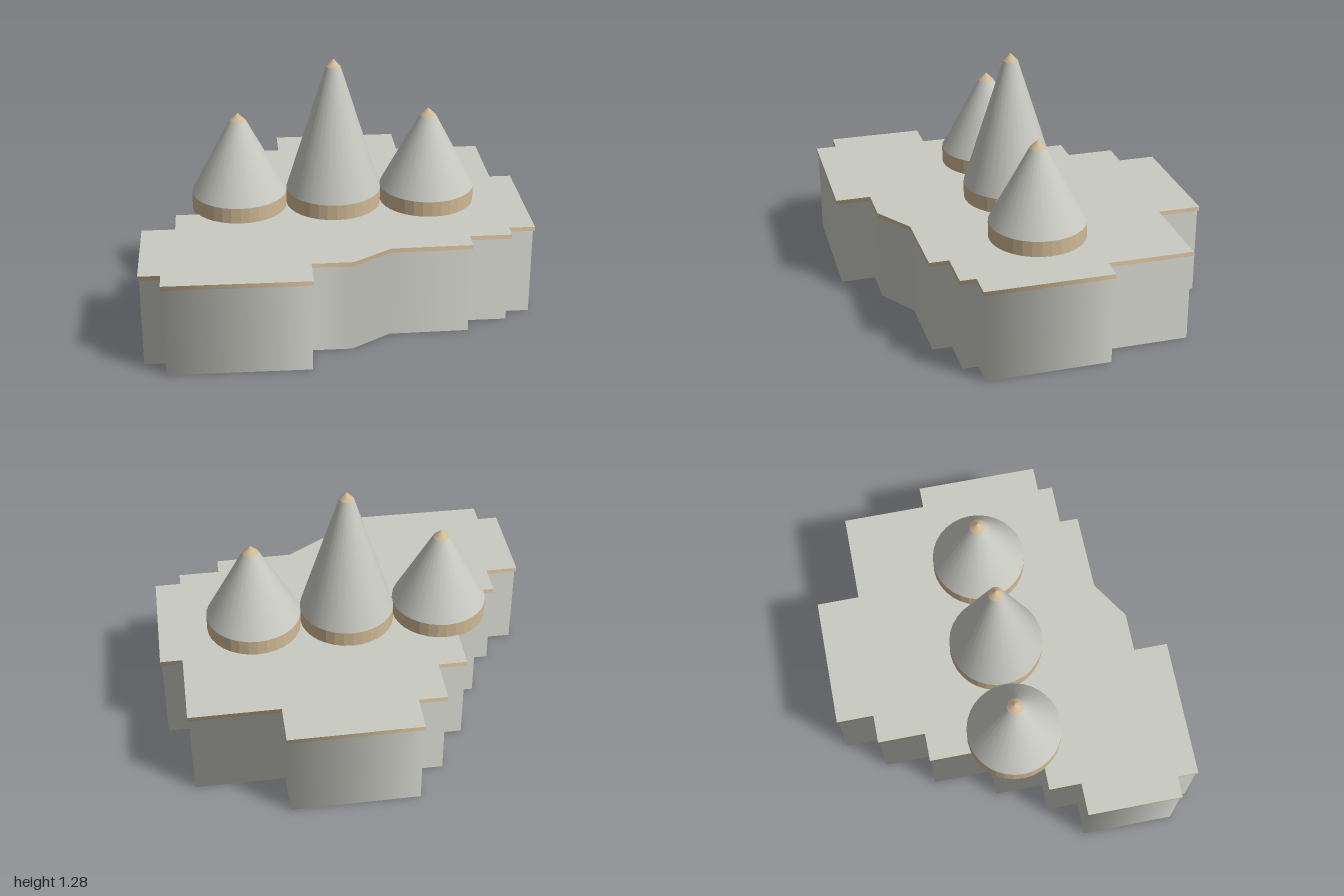
import * as THREE from 'three';

// stepped ground outline as [x, z], walked clockwise seen from above
const OUTLINE = [
  [-0.26, -0.905], [0.42, -0.905], [0.42, -0.68], [0.885, -0.68], [0.885, -0.24], [1, -0.24],
  [1, 0.41], [0.865, 0.41], [0.865, 0.49], [0.65, 0.49], [0.65, 0.59], [0.24, 0.595],
  [0.04, 0.725], [-0.165, 0.725], [-0.165, 0.905], [-0.89, 0.9], [-0.89, 0.79], [-1, 0.79],
  [-1, 0.29], [-0.83, 0.29], [-0.83, 0.12], [-0.69, 0.12], [-0.69, -0.14], [-0.56, -0.14],
  [-0.56, -0.46], [-0.41, -0.46], [-0.41, -0.71], [-0.26, -0.71],
];

// corner positions with the mitred outward direction of each
function corners(inset) {
  const n = OUTLINE.length;
  const edgeNormal = (i) => {
    const a = OUTLINE[(i + n) % n], b = OUTLINE[(i + 1) % n];
    return new THREE.Vector2(b[1] - a[1], a[0] - b[0]).normalize();
  };
  return OUTLINE.map(([x, z], i) => {
    const n1 = edgeNormal(i - 1), n2 = edgeNormal(i);
    const miter = n1.clone().add(n2).divideScalar(1 + n1.dot(n2));
    return {
      p: new THREE.Vector2(x, z).addScaledVector(miter, -inset),
      normal: miter.clone().normalize(),
    };
  });
}

// ring of walls with normals blended around the corners
function wallGeometry(ring, y0, y1) {
  const pos = [], nor = [], idx = [];
  ring.forEach(({ p, normal }, i) => {
    pos.push(p.x, y0, p.y, p.x, y1, p.y);
    nor.push(normal.x, 0, normal.y, normal.x, 0, normal.y);
    const a = 2 * i, b = 2 * ((i + 1) % ring.length);
    idx.push(b, a, a + 1, b, a + 1, b + 1);
  });
  const g = new THREE.BufferGeometry();
  g.setAttribute('position', new THREE.Float32BufferAttribute(pos, 3));
  g.setAttribute('normal', new THREE.Float32BufferAttribute(nor, 3));
  g.setIndex(idx);
  return g;
}

// flat face filling the outline, facing up or down
function capGeometry(ring, y, up) {
  const s = up ? -1 : 1;
  const shape = new THREE.Shape(ring.map(({ p }) => new THREE.Vector2(p.x, s * p.y)));
  return new THREE.ShapeGeometry(shape).rotateX(s * Math.PI / 2).translate(0, y, 0);
}

export function createModel() {
  const model = new THREE.Group();
  const stone = new THREE.MeshStandardMaterial({ color: 0xc9cac2 });
  stone.name = 'pale stone';
  const sand = new THREE.MeshStandardMaterial({ color: 0xd0ba96 });
  sand.name = 'sand trim';

  const add = (parent, name, geometry, material) => {
    const mesh = new THREE.Mesh(geometry, material);
    mesh.name = name;
    parent.add(mesh);
    return mesh;
  };

  // main block
  const body = new THREE.Group();
  body.name = 'building';
  model.add(body);
  const inner = corners(0.008), outer = corners(0);
  add(body, 'walls', wallGeometry(inner, 0, 0.465), stone);
  add(body, 'floor', capGeometry(inner, 0, false), stone);

  // thin overhanging roof slab with a sand edge
  const roof = new THREE.Group();
  roof.name = 'roof';
  model.add(roof);
  add(roof, 'roofEdge', wallGeometry(outer, 0.465, 0.488), sand);
  add(roof, 'roofUnderside', capGeometry(outer, 0.465, false), sand);
  add(roof, 'roofTop', capGeometry(outer, 0.488, true), stone);

  // three conical towers: drum, spire and pointed tip
  const SIDES = 32;
  const tower = (name, x, top, tipRadius) => {
    const g = new THREE.Group();
    g.name = name;
    g.position.x = x;
    model.add(g);
    const tipBase = top - 0.04;
    const drum = new THREE.CylinderGeometry(0.248, 0.248, 0.09, SIDES).toNonIndexed();
    drum.computeVertexNormals();
    add(g, 'drum', drum, sand).position.y = 0.525;
    const height = tipBase - 0.57;
    add(g, 'spire', new THREE.CylinderGeometry(tipRadius, 0.248, height, SIDES, 1, true), stone)
      .position.y = 0.57 + height / 2;
    add(g, 'tip', new THREE.ConeGeometry(tipRadius, 0.04, SIDES), sand).position.y = top - 0.02;
  };
  tower('rightTower', -0.495, 1.0, 0.042);
  tower('middleTower', 0, 1.28, 0.038);
  tower('leftTower', 0.495, 1.0, 0.042);

  return model;
}
